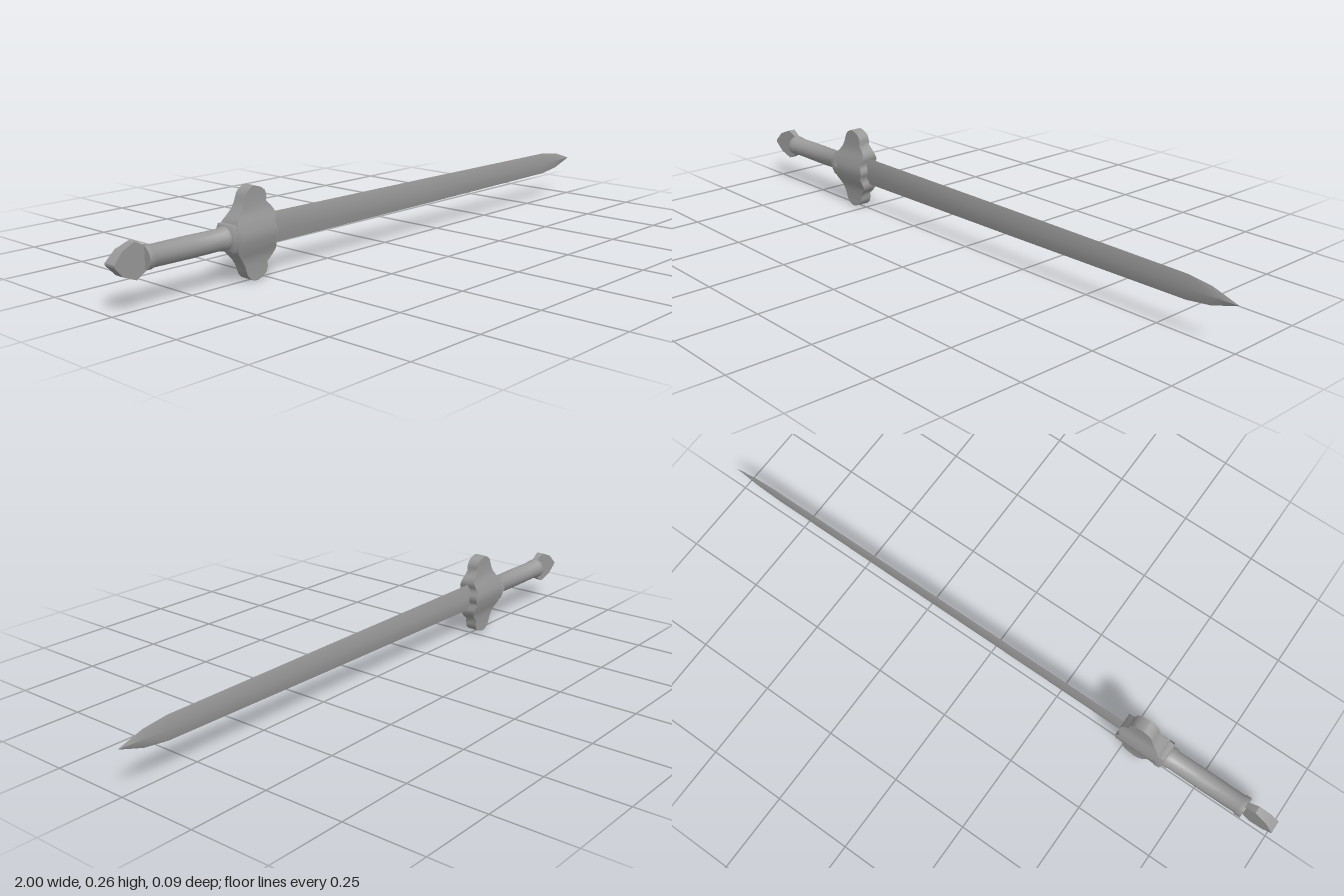
import * as THREE from 'three';
import { toCreasedNormals } from 'three/addons/utils/BufferGeometryUtils.js';

const CY = 0.131; // height of the long axis
const material = new THREE.MeshStandardMaterial({ color: 0x999999 });

// Skin a row of equal-sized closed rings and cap both ends.
function loft(name, rings, crease) {
  const n = rings[0].length;
  const index = [];
  for (let i = 0; i < rings.length - 1; i++) {
    for (let j = 0; j < n; j++) {
      const a = i * n + j, b = i * n + (j + 1) % n;
      index.push(a, b, b + n, a, b + n, a + n);
    }
  }
  const last = (rings.length - 1) * n;
  for (let j = 1; j < n - 1; j++) {
    index.push(0, j + 1, j, last, last + j, last + j + 1);
  }
  const geometry = new THREE.BufferGeometry();
  geometry.setAttribute('position', new THREE.Float32BufferAttribute(rings.flat(2), 3));
  geometry.setIndex(index);
  const mesh = new THREE.Mesh(toCreasedNormals(geometry, crease), material);
  mesh.name = name;
  return mesh;
}

// Cross-sections at a station along x.
const diamond = (x, h, t) => [[x, h, 0], [x, 0, t], [x, -h, 0], [x, 0, -t]];
const slab = (x, h, t) => [[x, h, -t], [x, h, t], [x, -h, t], [x, -h, -t]];
const hexagon = (x, h, t) => [
  [x, h, -0.65 * t], [x, h, 0.65 * t], [x, 0, t],
  [x, -h, 0.65 * t], [x, -h, -0.65 * t], [x, 0, -t],
];

export function createModel() {
  const model = new THREE.Group();
  model.name = 'sword';
  const body = new THREE.Group();
  body.name = 'swordBody';
  body.position.y = CY;
  model.add(body);

  // Blade: softly ridged diamond section, slight taper, pointed tip
  body.add(loft('blade', [
    [-0.53, 0.045, 0.01], [0.2, 0.041, 0.01], [0.84, 0.036, 0.009],
    [0.92, 0.026, 0.006], [1, 0.0005, 0.0005],
  ].map((s) => diamond(...s)), 0.9));

  // Guard: lobed outline, swelling in thickness towards the middle
  // rows: height, handle-side x, blade-side x, half thickness
  const half = [
    [0, -0.62, -0.474, 0.04], [0.012, -0.62, -0.478, 0.039],
    [0.025, -0.62, -0.486, 0.036], [0.04, -0.617, -0.477, 0.032],
    [0.055, -0.605, -0.477, 0.026], [0.07, -0.593, -0.487, 0.022],
    [0.085, -0.584, -0.503, 0.021], [0.1, -0.579, -0.501, 0.02],
    [0.115, -0.573, -0.506, 0.02], [0.125, -0.562, -0.52, 0.02],
    [0.131, -0.55, -0.538, 0.02],
  ];
  const rows = [...half.slice(1).reverse().map(([y, ...r]) => [-y, ...r]), ...half];
  body.add(loft('guard', rows.map(([y, a, b, t]) => [
    [a, y, -t], [a, y, t], [b, y, t * 0.96], [b, y, -t * 0.96],
  ]), 1.15));

  // Collar between grip and guard
  body.add(loft('collar', [
    [-0.637, 0.032, 0.038], [-0.633, 0.037, 0.045],
    [-0.618, 0.037, 0.046], [-0.605, 0.034, 0.042],
  ].map((s) => hexagon(...s)), 0.9));

  // Grip: round handle with a slight ring at each end
  const profile = [
    [0, -0.902], [0.033, -0.902], [0.033, -0.885], [0.03, -0.88],
    [0.031, -0.76], [0.03, -0.655], [0.033, -0.65], [0.033, -0.63], [0, -0.63],
  ].map(([r, x]) => new THREE.Vector2(r, x));
  const grip = new THREE.Mesh(
    toCreasedNormals(new THREE.LatheGeometry(profile, 16), 0.9), material);
  grip.name = 'grip';
  grip.rotation.z = -Math.PI / 2;
  body.add(grip);

  // Pommel: pointed leaf outline, thickening towards the outer end
  body.add(loft('pommel', [
    [-1, 0.003, 0.02], [-0.972, 0.033, 0.016],
    [-0.93, 0.05, 0.012], [-0.9, 0.034, 0.009], [-0.895, 0.03, 0.009],
  ].map((s) => slab(...s)), 0.45));

  return model;
}
